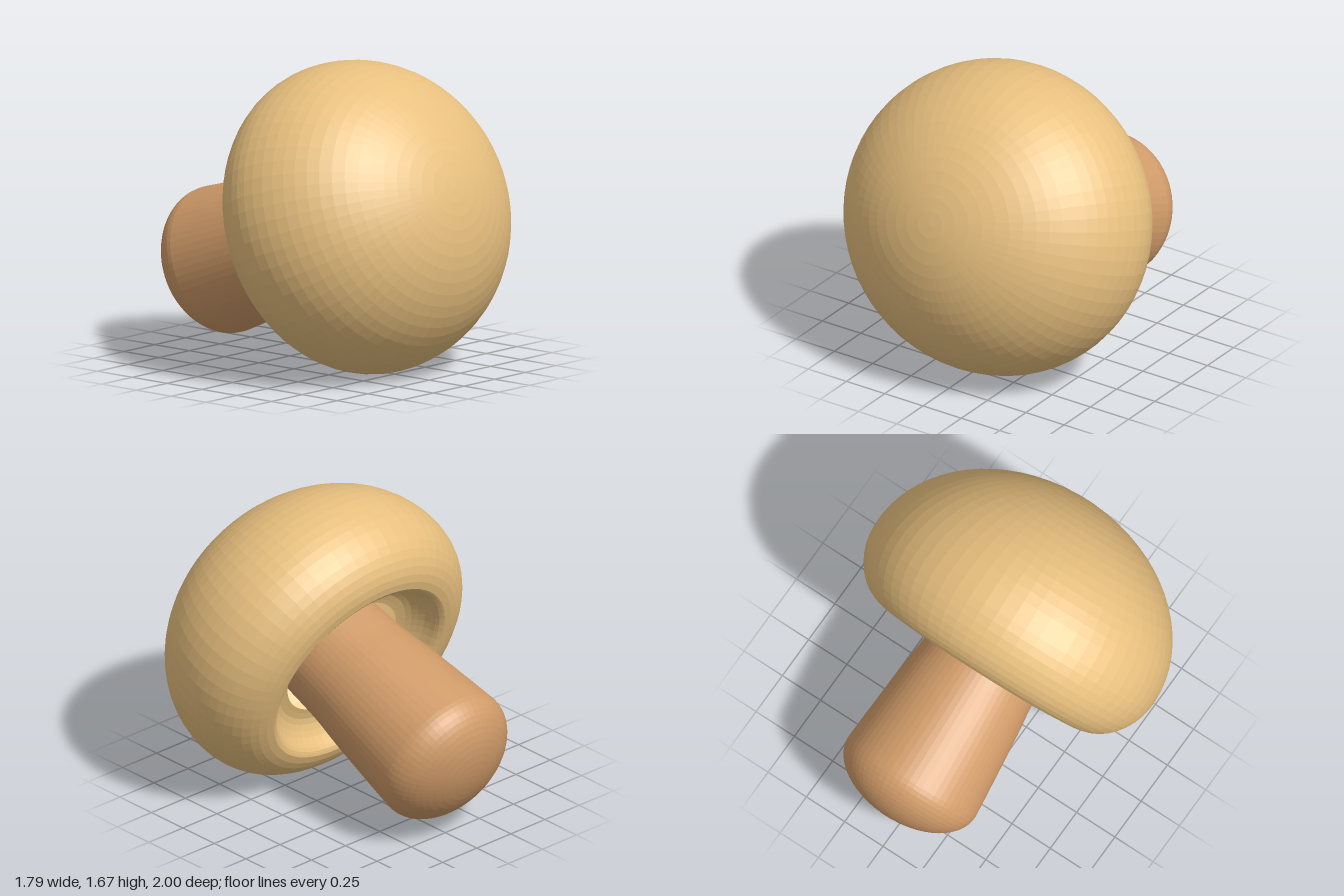
import * as THREE from 'three';

const SIDES = 64;

// Points on an elliptical arc, angles in degrees
function arc(cx, cy, rx, ry, from, to, steps) {
  const pts = [];
  for (let i = 0; i <= steps; i++) {
    const a = THREE.MathUtils.degToRad(from + (to - from) * i / steps);
    pts.push(new THREE.Vector2(Math.max(0, cx + rx * Math.cos(a)), cy + ry * Math.sin(a)));
  }
  return pts;
}

function curve(points, steps) {
  return new THREE.SplineCurve(points.map(p => new THREE.Vector2(...p))).getPoints(steps);
}

function lathe(name, profile, color) {
  const material = new THREE.MeshStandardMaterial({ color, flatShading: true, side: THREE.DoubleSide });
  const mesh = new THREE.Mesh(new THREE.LatheGeometry(profile, SIDES), material);
  mesh.name = name;
  return mesh;
}

export function createModel() {
  const mushroom = new THREE.Group();
  mushroom.name = 'mushroom';

  // Cap: recessed underside with an open centre, rounded lip, domed top
  const underside = curve([[0.38, 0.33], [0.46, 0.32], [0.53, 0.265], [0.565, 0.2], [0.6, 0.18]], 10);
  const lip = arc(0.6, 0.53, 0.295, 0.35, -90, 0, 10).slice(1);
  const dome = arc(0, 0.53, 0.895, 0.72, 0, 90, 18).slice(1);
  const cap = lathe('cap', [...underside, ...lip, ...dome], 0xe8c07f);
  cap.scale.z = 0.955; // slightly oval
  mushroom.add(cap);

  // Stem: rounded foot, narrowing towards the cap
  const foot = arc(0, -0.52, 0.405, 0.25, -90, 0, 14);
  const shaft = curve([[0.405, -0.52], [0.39, -0.33], [0.362, -0.02], [0.339, 0.185], [0.325, 0.5]], 12).slice(1);
  mushroom.add(lathe('stem', [...foot, ...shaft, new THREE.Vector2(0, 0.5)], 0xd09b69));

  // Lying back on the edge of the cap
  mushroom.rotation.x = THREE.MathUtils.degToRad(70);
  mushroom.position.set(0, 0.65, -0.238);

  const model = new THREE.Group();
  model.add(mushroom);
  return model;
}
